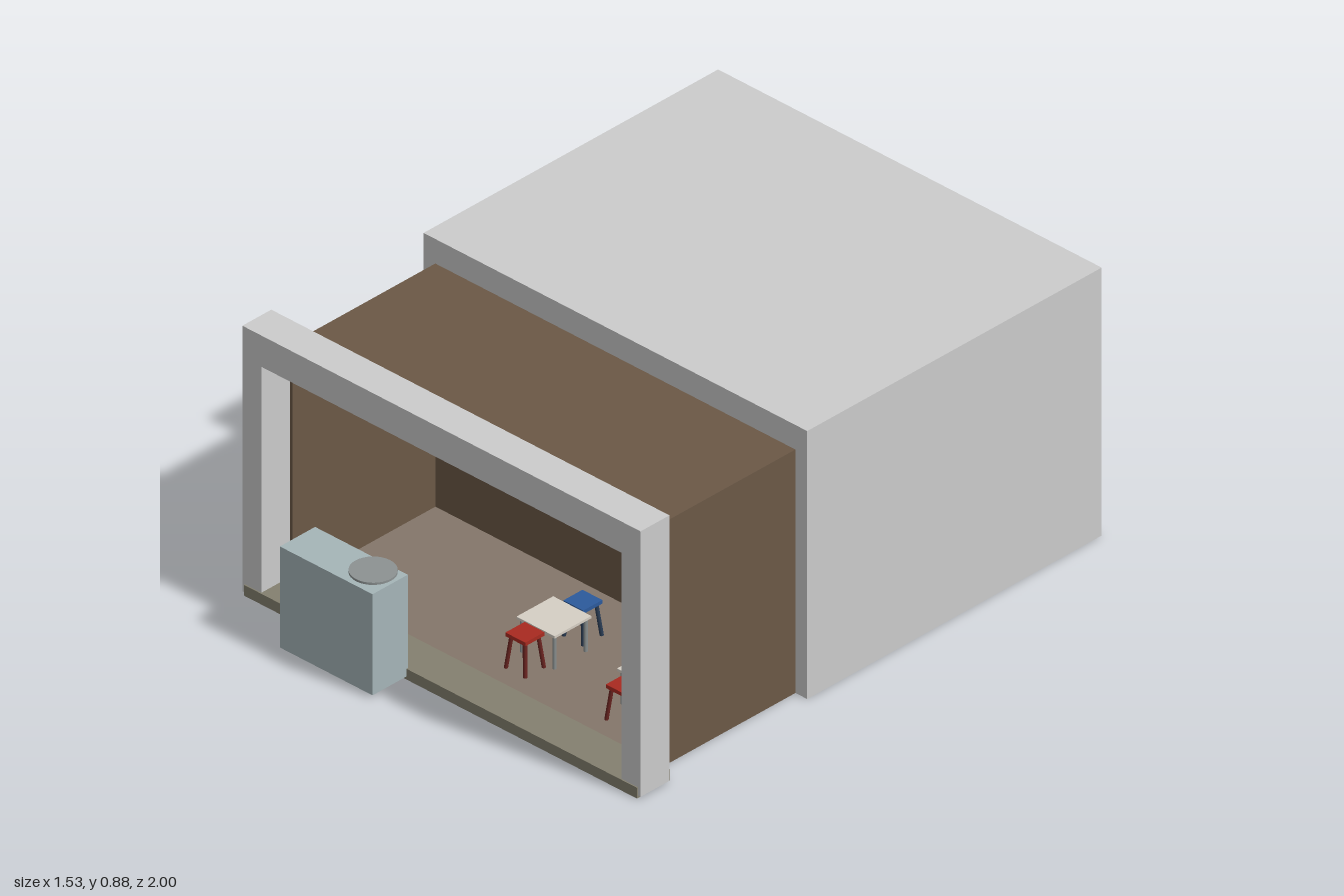
import * as THREE from 'three';

const mat = (color) => new THREE.MeshStandardMaterial({ color });
const grey = mat(0xcccccc), brown = mat(0x6b5846), floorMat = mat(0x84766a), sillMat = mat(0x84806f);
const steel = mat(0xa5b5b8), griddle = mat(0x8c9292), topMat = mat(0xd6cfc4), legMat = mat(0x8a9090);
const red = mat(0xa82a20), darkRed = mat(0x6a2420), blue = mat(0x2c5a9c), darkBlue = mat(0x2a3c54);

function add(parent, name, geometry, material) {
  const mesh = new THREE.Mesh(geometry, material);
  mesh.name = name;
  parent.add(mesh);
  return mesh;
}

// Box given by its two extreme corners
function box(parent, name, [x0, y0, z0], [x1, y1, z1], material) {
  const mesh = add(parent, name, new THREE.BoxGeometry(x1 - x0, y1 - y0, z1 - z0), material);
  mesh.position.set((x0 + x1) / 2, (y0 + y1) / 2, (z0 + z1) / 2);
  return mesh;
}

// Thin round leg between two points
function leg(parent, name, from, to, radius, material) {
  const a = new THREE.Vector3(...from), b = new THREE.Vector3(...to);
  const dir = b.clone().sub(a);
  const mesh = add(parent, name, new THREE.CylinderGeometry(radius, radius, dir.length(), 8), material);
  mesh.position.copy(a).add(b).multiplyScalar(0.5);
  mesh.quaternion.setFromUnitVectors(new THREE.Vector3(0, 1, 0), dir.normalize());
}

const corners = [[-1, -1], [1, -1], [1, 1], [-1, 1]];

function makeTable() {
  const table = new THREE.Group();
  table.name = 'table';
  box(table, 'tableTop', [-0.073, 0.117, -0.073], [0.073, 0.125, 0.073], topMat);
  for (const [sx, sz] of corners) {
    leg(table, 'tableLeg', [sx * 0.062, 0.01, sz * 0.062], [sx * 0.062, 0.118, sz * 0.062], 0.006, legMat);
  }
  return table;
}

function makeStool(seatMat, frameMat) {
  const stool = new THREE.Group();
  stool.name = 'stool';
  box(stool, 'stoolSeat', [-0.038, 0.113, -0.038], [0.038, 0.125, 0.038], seatMat);
  for (const [sx, sz] of corners) {
    leg(stool, 'stoolLeg', [sx * 0.037, 0.01, sz * 0.037], [sx * 0.026, 0.115, sz * 0.026], 0.006, frameMat);
  }
  return stool;
}

export function createModel() {
  const model = new THREE.Group();
  model.name = 'foodStall';

  // Solid rear building
  box(model, 'rearBuilding', [-0.735, 0, -1], [0.735, 0.875, 0.17], grey);

  // Open-fronted dining room
  const room = new THREE.Group();
  room.name = 'room';
  model.add(room);
  for (const s of [-1, 1]) {
    const wall = box(room, 'sideWall', [-0.005, 0, 0.17], [0.005, 0.795, 0.748], brown);
    wall.position.x = s * 0.685;
  }
  box(room, 'backWall', [-0.68, 0, 0.17], [0.68, 0.785, 0.18], brown);
  box(room, 'roof', [-0.68, 0.785, 0.17], [0.68, 0.795, 0.748], brown);
  box(room, 'floor', [-0.68, 0, 0.18], [0.68, 0.01, 0.74], floorMat);

  // Portal frame with a door-like opening down to the ground
  const outline = new THREE.Shape([
    [-0.763, 0.008], [-0.69, 0.008], [-0.69, 0.773], [0.69, 0.773],
    [0.69, 0.008], [0.763, 0.008], [0.763, 0.875], [-0.763, 0.875],
  ].map(([x, y]) => new THREE.Vector2(x, y)));
  const frame = add(model, 'frontFrame',
    new THREE.ExtrudeGeometry(outline, { depth: 0.115, bevelEnabled: false }), grey);
  frame.position.z = 0.746;
  box(model, 'sill', [-0.753, 0, 0.733], [0.753, 0.035, 0.865], sillMat);

  // Cooking counter with a round hot plate
  const counter = new THREE.Group();
  counter.name = 'counter';
  model.add(counter);
  box(counter, 'counterBody', [-0.485, 0.01, 0.86], [-0.13, 0.34, 1], steel);
  const burner = add(counter, 'burner', new THREE.CylinderGeometry(0.05, 0.05, 0.012, 24), griddle);
  burner.position.set(-0.2, 0.345, 0.925);
  const plate = add(counter, 'hotPlate', new THREE.CylinderGeometry(0.068, 0.068, 0.007, 32), griddle);
  plate.position.set(-0.2, 0.352, 0.925);

  // Two tables, each with a red stool in front and a blue one behind
  for (const x of [0.073, 0.458]) {
    const set = new THREE.Group();
    set.name = 'diningSet';
    const front = makeStool(red, darkRed), back = makeStool(blue, darkBlue);
    front.position.z = 0.115;
    back.position.z = -0.115;
    set.add(makeTable(), front, back);
    set.position.set(x, 0, 0.49);
    model.add(set);
  }
  return model;
}
